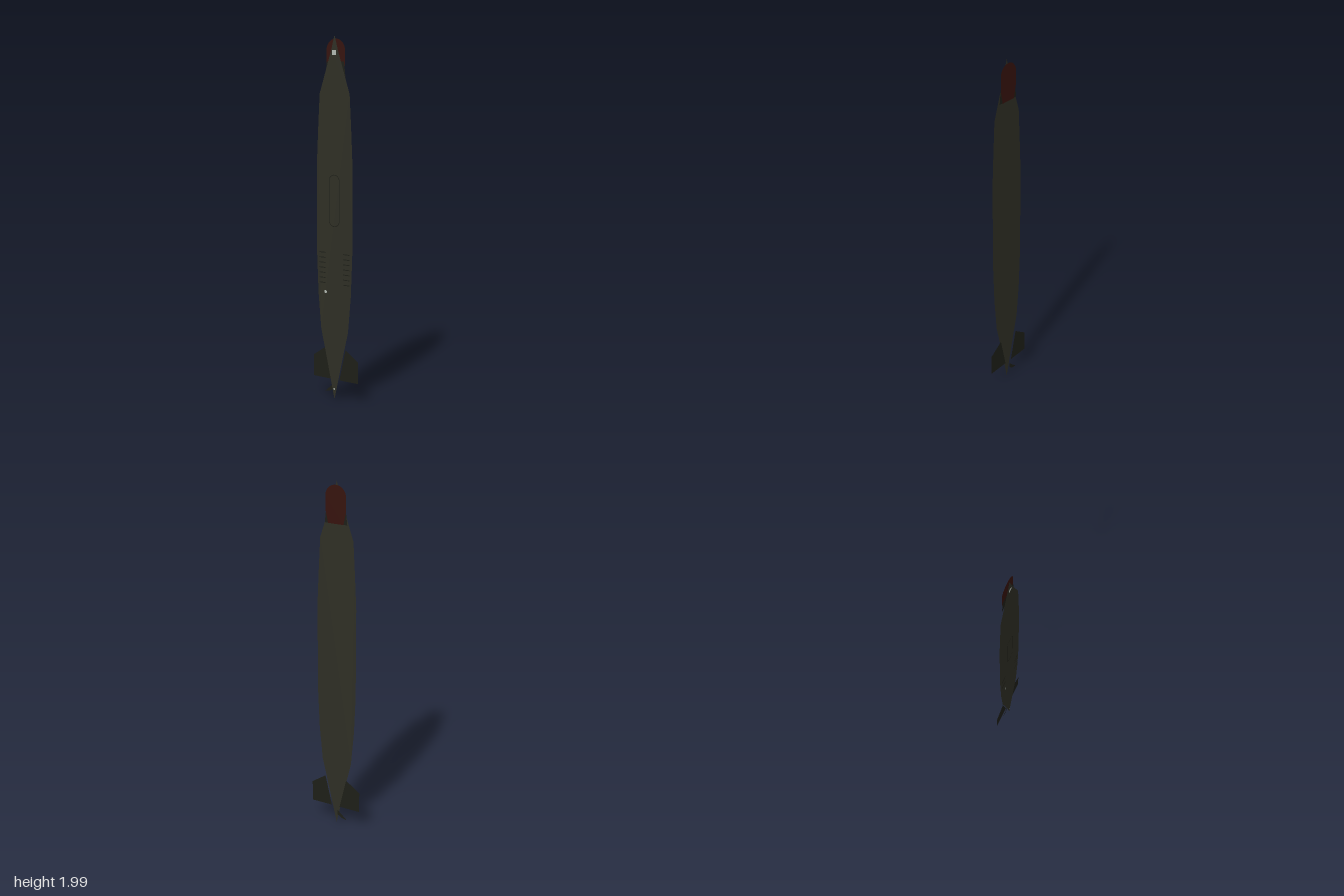
import * as THREE from 'three';

// The model is a stack of paper-thin layers facing +z.
const Z = { detail: 0.007, hull: 0.004, neck: -0.004, rear: -0.007 };
const mat = (color) => new THREE.MeshStandardMaterial({ color, side: THREE.DoubleSide });

const polygon = (points) => new THREE.Shape(points.map(([x, y]) => new THREE.Vector2(x, y)));
const mirrored = (points) => [...points, ...points.slice().reverse().map(([x, y]) => [-x, y])];

// Upright pill outline centred on x = 0
function pill(y, halfWidth, halfHeight, Type = THREE.Shape) {
  const s = new Type();
  const d = halfHeight - halfWidth;
  s.absarc(0, y + d, halfWidth, 0, Math.PI);
  s.absarc(0, y - d, halfWidth, Math.PI, Math.PI * 2);
  s.closePath();
  return s;
}

export function createModel() {
  const group = new THREE.Group();
  const olive = mat(0x2e2e24), dark = mat(0x1d1e17), red = mat(0x35120c), pale = mat(0xb0b8b0);

  function add(name, geometry, material, z) {
    const mesh = new THREE.Mesh(geometry, material);
    mesh.name = name;
    mesh.position.z = z;
    group.add(mesh);
    return mesh;
  }
  const sheet = (name, shape, material, z) =>
    add(name, new THREE.ShapeGeometry(shape, 20), material, z);

  // Long tapered hull
  sheet('hull', polygon(mirrored([
    [0, 2.0], [0.022, 1.92], [0.05, 1.835], [0.098, 1.69], [0.108, 1.51], [0.117, 1.32],
    [0.117, 0.82], [0.108, 0.6], [0.09, 0.4], [0.066, 0.3], [0.025, 0.12], [0, 0.01],
  ])), olive, Z.hull);

  // Rounded red cap behind the tip, with the dark neck below it
  const cap = new THREE.Shape();
  cap.moveTo(0.06, 1.92);
  cap.absarc(0, 1.92, 0.06, 0, Math.PI);
  cap.lineTo(-0.06, 1.845);
  cap.lineTo(-0.045, 1.775);
  cap.lineTo(0.045, 1.775);
  cap.lineTo(0.06, 1.845);
  sheet('redCap', cap, red, Z.rear);
  sheet('neck', polygon(mirrored([[0.056, 1.86], [0.066, 1.775]])), dark, Z.neck);

  // Tail fins
  for (const side of [1, -1]) {
    sheet(side > 0 ? 'leftFin' : 'rightFin', polygon([
      [0.066, 0.298], [0.15, 0.24], [0.15, 0.12], [0.025, 0.12],
    ].map(([x, y]) => [x * side, y])), dark, Z.rear);
  }

  // Small spur beside the tail tip
  sheet('tailSpur', polygon([
    [-0.01, 0.098], [-0.07, 0.045], [-0.035, 0.052], [-0.012, 0.068],
  ]), dark, Z.rear);

  // Thin outline of the long hatch
  const hatch = pill(1.117, 0.036, 0.142);
  hatch.holes.push(pill(1.117, 0.032, 0.138, THREE.Path));
  sheet('hatchOutline', hatch, dark, Z.detail);

  // Rows of vent slots on both sides
  for (const side of [1, -1]) {
    for (let i = 0; i < 7; i++) {
      add('ventSlot', new THREE.PlaneGeometry(0.042, 0.005), dark, Z.detail)
        .position.set(side * 0.079, 0.83 - i * 0.028, Z.detail);
    }
  }

  // Pale lamps
  add('noseLamp', new THREE.PlaneGeometry(0.026, 0.026), pale, Z.detail).position.y = 1.907;
  add('sideLamp', new THREE.CircleGeometry(0.009, 16), pale, Z.detail).position.set(-0.058, 0.612, Z.detail);
  add('tailLamp', new THREE.CircleGeometry(0.005, 12), pale, Z.detail).position.y = 0.07;

  return group;
}
